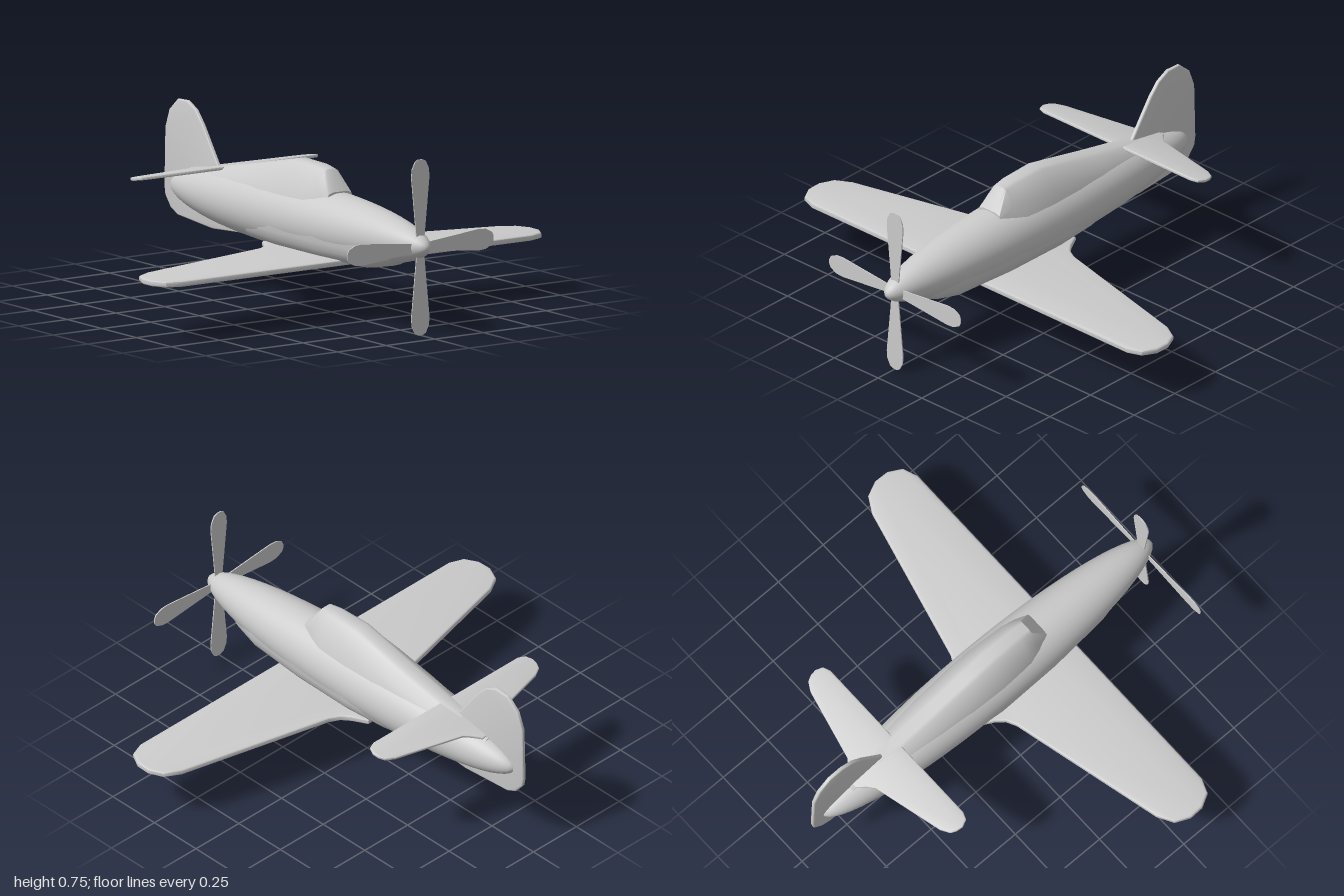
import * as THREE from 'three';
import { toCreasedNormals } from 'three/addons/utils/BufferGeometryUtils.js';

const grey = new THREE.MeshStandardMaterial({ color: 0xcccccc });
const thin = new THREE.MeshStandardMaterial({ color: 0xcccccc, side: THREE.DoubleSide });

function part(name, geometry, material = grey) {
  const mesh = new THREE.Mesh(geometry, material);
  mesh.name = name;
  return mesh;
}

// Skin over closed rings of [x, y], counter-clockwise seen from the front, listed nose to tail.
function loft(stations, ring, crease) {
  const pos = [], index = [];
  let n = 0;
  for (const s of stations) {
    const points = ring(s);
    n = points.length;
    points.forEach(([x, y]) => pos.push(x, y, s[0]));
  }
  const last = (stations.length - 1) * n;
  for (let i = 0; i < last; i += n) {
    for (let j = 0; j < n; j++) {
      const k = (j + 1) % n;
      index.push(i + j, i + n + j, i + k, i + k, i + n + j, i + n + k);
    }
  }
  for (let j = 1; j < n - 1; j++) index.push(0, j, j + 1, last, last + j + 1, last + j);
  const g = new THREE.BufferGeometry();
  g.setAttribute('position', new THREE.Float32BufferAttribute(pos, 3));
  g.setIndex(index);
  return toCreasedNormals(g, crease);
}

// Flat plate with rounded edges, centred on its thickness.
function plate(points, thickness, bevel) {
  const shape = new THREE.Shape(points.map(([x, y]) => new THREE.Vector2(x, y)));
  const depth = thickness - 2 * bevel;
  const g = new THREE.ExtrudeGeometry(shape, {
    depth, bevelEnabled: bevel > 0, bevelThickness: bevel,
    bevelSize: bevel, bevelOffset: -bevel, bevelSegments: 3,
  });
  g.translate(0, 0, -depth / 2);
  return toCreasedNormals(g, 0.7);
}

// Half planform of [x, z], mirrored across the centre line and laid flat.
function surface(half, thickness, bevel) {
  const right = half.map(([x, z]) => [x, -z]);
  const left = right.map(([x, y]) => [-x, y]).reverse();
  return plate([...right, ...left], thickness, bevel).rotateX(-Math.PI / 2);
}

export function createModel() {
  const model = new THREE.Group();
  model.name = 'propellerPlane';

  // Long egg-shaped body
  const body = new THREE.SphereGeometry(1, 40, 32).rotateX(Math.PI / 2);
  body.scale(0.148, 0.147, 0.92).translate(0, 0.38, 0.03);
  model.add(part('fuselage', body));

  // Canopy and spine: z, top height, top half width, base half width, base height
  const canopy = [
    [0.315, 0.525, 0.058, 0.066, 0.47],
    [0.25, 0.612, 0.034, 0.09, 0.48],
    [0.19, 0.622, 0.037, 0.104, 0.48],
    [0.03, 0.625, 0.04, 0.112, 0.48],
    [-0.1, 0.597, 0.04, 0.108, 0.48],
    [-0.3, 0.553, 0.04, 0.098, 0.47],
    [-0.5, 0.513, 0.038, 0.085, 0.45],
    [-0.74, 0.463, 0.03, 0.055, 0.42],
  ];
  model.add(part('canopyAndSpine', loft(canopy, ([, top, tw, bw, base]) => {
    const mid = base + (top - base) * 0.45;
    const mw = tw + (bw - tw) * 0.72;
    return [[bw, base], [mw, mid], [tw, top - 0.008], [tw * 0.6, top],
      [-tw * 0.6, top], [-tw, top - 0.008], [-mw, mid], [-bw, base]];
  }, 0.6)));

  // Squared chin and belly: z, half width, bottom height
  const belly = [
    [0.8, 0.055, 0.31], [0.7, 0.09, 0.268], [0.58, 0.116, 0.243], [0.3, 0.139, 0.238],
    [0, 0.146, 0.242], [-0.2, 0.13, 0.248], [-0.5, 0.07, 0.27],
  ];
  model.add(part('belly', loft(belly, ([, w, bottom]) => {
    const h = 0.38 - bottom;
    const ring = [];
    for (let i = 0; i <= 12; i++) {
      const a = Math.PI + (i / 12) * Math.PI;
      const c = Math.cos(a), s = Math.sin(a);
      ring.push([w * Math.sign(c) * Math.abs(c) ** 0.68, 0.38 - h * Math.abs(s) ** 0.68]);
    }
    return ring;
  }, 0.9)));

  // Main wing with flared roots
  const wing = surface([
    [0, 0.44], [0.9, 0.44], [0.965, 0.415], [0.998, 0.355], [1, 0.29], [0.97, 0.225],
    [0.9, 0.185], [0.21, 0.015], [0.165, -0.008], [0.135, -0.045], [0.1, -0.11], [0, -0.11],
  ], 0.026, 0.01);
  wing.translate(0, 0.248, 0);
  model.add(part('wing', wing));

  // Tailplane, sloping down along the spine
  const tail = surface([
    [0, 0], [0.42, 0], [0.453, -0.013], [0.467, -0.045], [0.463, -0.075], [0.45, -0.1],
    [0.41, -0.123], [0.09, -0.2], [0.06, -0.225], [0.03, -0.26], [0, -0.26],
  ], 0.014, 0.005);
  tail.rotateX(-0.17).translate(0, 0.508, -0.47);
  model.add(part('tailplane', tail));

  // Upright fin, with its keel under the tail
  const fin = plate([
    [0.55, 0.49], [0.67, 0.66], [0.72, 0.715], [0.78, 0.745], [0.85, 0.742], [0.91, 0.69],
    [0.94, 0.61], [0.947, 0.36], [0.94, 0.32], [0.9, 0.27], [0.85, 0.247],
    [0.6, 0.226], [0.4, 0.24], [0.4, 0.35],
  ].reverse(), 0.018, 0.006).rotateY(Math.PI / 2);
  model.add(part('fin', fin));

  // Four paddle blades
  const propeller = new THREE.Group();
  propeller.name = 'propeller';
  propeller.position.set(0, 0.377, 0.895);
  const edge = [[0.014, 0], [0.022, 0.06], [0.046, 0.3], [0.043, 0.335], [0.027, 0.367], [0.01, 0.375]];
  const blade = plate([...edge, ...edge.map(([x, y]) => [-x, y]).reverse()], 0.005, 0);
  for (let i = 0; i < 4; i++) {
    const mesh = part('propellerBlade', blade, thin);
    mesh.rotation.z = i * Math.PI / 2;
    propeller.add(mesh);
  }
  model.add(propeller);
  return model;
}
